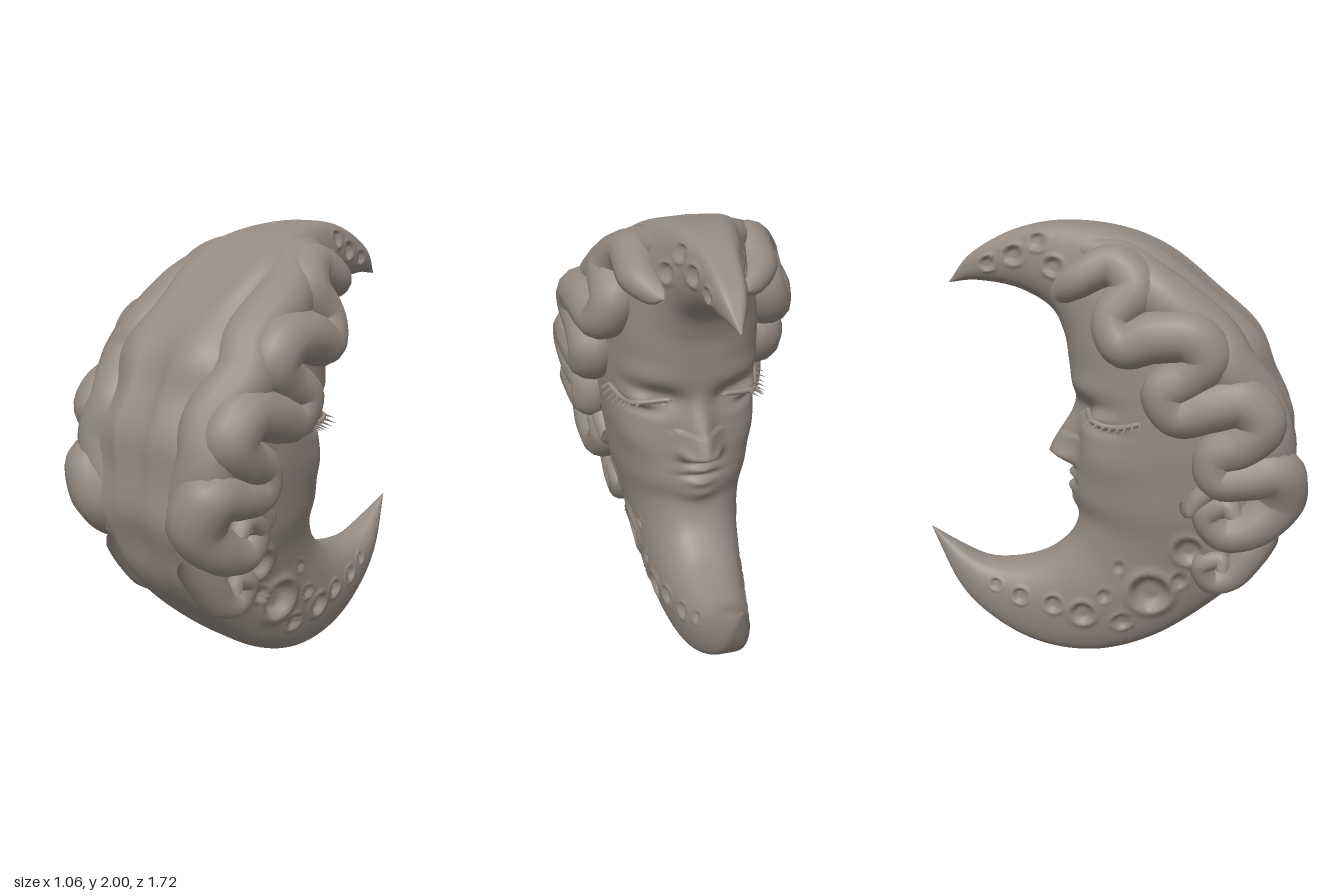
import * as THREE from 'three';

const stone = new THREE.MeshStandardMaterial({ color: 0x948a82 });
stone.name = 'warm grey stone';

// crescent stations: outer z, y, inner z, y, half width
const stations = [
  [-0.73, 1.73, -0.725, 1.728, 0.004], [-0.62, 1.86, -0.60, 1.74, 0.06],
  [-0.42, 1.965, -0.42, 1.71, 0.10], [-0.18, 2.0, -0.27, 1.63, 0.17],
  [0.11, 1.95, -0.21, 1.52, 0.26], [0.38, 1.78, -0.19, 1.40, 0.32],
  [0.61, 1.57, -0.17, 1.26, 0.345], [0.74, 1.34, -0.15, 1.14, 0.355],
  [0.81, 1.10, -0.15, 1.02, 0.355], [0.82, 0.90, -0.16, 0.92, 0.34],
  [0.78, 0.69, -0.17, 0.80, 0.32], [0.67, 0.485, -0.15, 0.69, 0.28],
  [0.47, 0.285, -0.19, 0.57, 0.245], [0.22, 0.105, -0.28, 0.48, 0.22],
  [-0.04, 0.01, -0.38, 0.435, 0.19], [-0.30, 0.015, -0.50, 0.415, 0.155],
  [-0.53, 0.11, -0.61, 0.425, 0.115], [-0.72, 0.28, -0.73, 0.485, 0.07],
  [-0.865, 0.57, -0.86, 0.567, 0.003],
];
// craters on both sides: z, y, radius
const craters = [
  [0.19, 0.37, 0.10], [-0.12, 0.24, 0.06], [0.36, 0.60, 0.07], [-0.26, 0.27, 0.045],
  [-0.42, 0.29, 0.04], [0.32, 0.44, 0.04], [0.06, 0.21, 0.045], [0.05, 0.49, 0.03],
  [-0.02, 0.34, 0.035], [-0.54, 0.33, 0.03], [-0.31, 1.92, 0.04], [-0.42, 1.86, 0.045],
  [-0.54, 1.82, 0.035], [-0.24, 1.82, 0.045],
];
// hair strands: x, y, z, radius
const mainCurl = [
  [0.17, 1.70, -0.22, 0.045], [0.25, 1.77, -0.13, 0.075], [0.25, 1.84, 0.02, 0.09],
  [0.30, 1.75, 0.12, 0.11], [0.33, 1.63, 0.03, 0.09], [0.37, 1.53, 0.08, 0.095],
  [0.39, 1.57, 0.21, 0.11], [0.40, 1.57, 0.35, 0.11], [0.40, 1.49, 0.42, 0.105],
  [0.39, 1.41, 0.35, 0.10], [0.39, 1.34, 0.25, 0.10], [0.39, 1.25, 0.31, 0.10],
  [0.40, 1.29, 0.45, 0.11], [0.40, 1.31, 0.57, 0.11], [0.40, 1.22, 0.65, 0.105],
  [0.39, 1.13, 0.58, 0.10], [0.37, 1.07, 0.47, 0.095], [0.37, 0.97, 0.48, 0.09],
  [0.37, 0.98, 0.60, 0.10], [0.36, 1.00, 0.72, 0.115], [0.31, 0.87, 0.74, 0.115],
  [0.32, 0.75, 0.64, 0.10], [0.32, 0.71, 0.51, 0.085], [0.32, 0.79, 0.44, 0.07],
  [0.34, 0.84, 0.52, 0.05], [0.36, 0.78, 0.56, 0.035],
];
const lowerCurl = [
  [0.22, 0.72, 0.72, 0.07], [0.23, 0.60, 0.64, 0.08], [0.23, 0.48, 0.55, 0.075],
  [0.24, 0.45, 0.46, 0.06], [0.26, 0.53, 0.42, 0.05], [0.27, 0.56, 0.50, 0.04], [0.29, 0.50, 0.51, 0.03],
];
const backLock = [
  [0.10, 1.90, -0.15, 0.05], [0.19, 1.84, 0.05, 0.10], [0.28, 1.71, 0.23, 0.12],
  [0.30, 1.56, 0.43, 0.115], [0.33, 1.43, 0.51, 0.125], [0.29, 1.27, 0.64, 0.11],
  [0.31, 1.12, 0.68, 0.12], [0.26, 0.95, 0.69, 0.12], [0.21, 0.76, 0.68, 0.09], [0.16, 0.62, 0.61, 0.05],
];
const templeLock = [
  [0.33, 1.00, 0.38, 0.03], [0.33, 0.93, 0.45, 0.05], [0.33, 0.86, 0.40, 0.045],
  [0.32, 0.80, 0.36, 0.035], [0.33, 0.85, 0.33, 0.02],
];

const bell = d => Math.exp(-d * d);
const smooth = THREE.MathUtils.smoothstep;
const curve = pts => new THREE.CatmullRomCurve3(pts.map(p => new THREE.Vector3(...p)), false, 'catmullrom', 0.5);

// facial relief, hair waves and craters pushed into a body point
function sculpt(p, s, a) {
  const x = Math.abs(p.x), side = Math.sign(p.x);
  const { y, z } = p;
  const near = (cx, cy, cz, rx, ry, rz) =>
    Math.exp(-(((x - cx) / rx) ** 2) - ((y - cy) / ry) ** 2 - ((z - cz) / rz) ** 2);
  if (s < 0.5 && y > 0.55 && y < 1.6) {
    const nose = y > 0.965 ? 1 - smooth(y, 0.94, 1.26) : smooth(y, 0.89, 0.97);
    let dz = -0.14 * nose * bell(x / (y < 1.05 ? 0.07 : 0.055));
    dz -= 0.04 * near(0.065, 0.95, -0.13, 0.03, 0.03, 0.10);
    // lips, mouth line and chin
    dz -= 0.035 * near(0, 0.868, -0.16, 0.07, 0.025, 0.10);
    dz -= 0.03 * near(0, 0.805, -0.16, 0.06, 0.025, 0.10);
    dz += 0.015 * near(0, 0.836, -0.16, 0.09, 0.012, 0.10);
    dz -= 0.03 * near(0, 0.74, -0.16, 0.08, 0.045, 0.12);
    // brow, eye socket, closed lid and cheek
    let out = 0.015 * near(0.2, 1.31, -0.06, 0.14, 0.06, 0.15);
    out -= 0.055 * near(0.17, 1.20, -0.10, 0.10, 0.06, 0.16);
    out += 0.05 * near(0.23, 1.185, -0.02, 0.07, 0.035, 0.10);
    out -= 0.02 * near(0.24, 1.13, -0.02, 0.09, 0.02, 0.12);
    out += 0.02 * near(0.25, 0.98, 0.0, 0.12, 0.10, 0.18);
    p.x += side * out * 0.6;
    p.z += dz - out * 0.8;
  }
  // stepped, wavy hair mass over the back of the head
  if (s > 0.5 && y > 0.5) {
    const k = smooth(s, 0.5, 0.8) * smooth(y, 0.5, 0.8) * smooth(z, -0.2, 0.15);
    const tier = Math.sin((y + 0.5 * x * x - 0.78) * Math.PI * 2 / 0.34);
    p.z += k * (0.009 * tier + 0.01 * Math.sin(24 * x - 5 * y) - 0.03 * bell(x / 0.05) * smooth(z, 0.5, 0.7));
    p.x *= 1 + k * (0.08 * smooth(y, 0.75, 1.05) + 0.05 * tier);
  }
  for (const [cz, cy, r] of craters) {
    const d = Math.hypot(z - cz, y - cy) / r;
    if (d < 2) p.x += side * Math.sin(a) * r * (0.16 * bell((d - 1) / 0.25) - 0.42 * (1 - smooth(d, 0.45, 1)));
  }
}

// crescent body lofted through the stations
function crescentGeometry() {
  const outer = curve(stations.map(q => [0, q[1], q[0]]));
  const inner = curve(stations.map(q => [0, q[3], q[2]]));
  const width = curve(stations.map(q => [q[4], 0, 0]));
  const rows = 216, cols = 200, pos = [], idx = [];
  for (let i = 0; i <= rows; i++) {
    const t = i / rows, o = outer.getPoint(t), n = inner.getPoint(t), w = width.getPoint(t).x;
    for (let j = 0; j < cols; j++) {
      const a = j / cols * Math.PI * 2, s = (1 - Math.cos(a)) / 2, sn = Math.sin(a);
      const p = n.clone().lerp(o, s);
      p.x = Math.sign(sn) * w * Math.abs(sn) ** (s < 0.5 ? 0.8 : 0.42);
      if (j % (cols / 2) === 0) p.x = 0;
      sculpt(p, s, Math.abs(sn) * Math.PI / 2);
      pos.push(p.x, p.y, p.z);
      if (i < rows) {
        const A = i * cols + j, B = i * cols + (j + 1) % cols;
        idx.push(A, B, A + cols, B, B + cols, A + cols);
      }
    }
  }
  const g = new THREE.BufferGeometry();
  g.setAttribute('position', new THREE.Float32BufferAttribute(pos, 3));
  g.setIndex(idx);
  g.computeVertexNormals();
  return g;
}

// tube whose radius follows the fourth number of each point, deeper in x, with rounded ends
function strand(points, side, segs, depth) {
  const c = curve(points.map(p => [p[0] * side, p[1], p[2]]));
  const g = new THREE.TubeGeometry(c, segs, 1, 14, false);
  const at = g.attributes.position, v = new THREE.Vector3(), len = c.getLength();
  for (let i = 0; i <= segs; i++) {
    const u = i / segs, f = c.getUtoTmapping(u) * (points.length - 1);
    const k = Math.min(Math.floor(f), points.length - 2);
    let r = THREE.MathUtils.lerp(points[k][3], points[k + 1][3], f - k);
    const e = Math.min(1, Math.min(u, 1 - u) * len / r);
    r *= Math.sqrt(1 - (1 - e) ** 2);
    const centre = c.getPointAt(u);
    for (let j = 0; j <= 14; j++) {
      const n = i * 15 + j;
      v.fromBufferAttribute(at, n).sub(centre).multiplyScalar(r);
      v.x *= depth;
      v.add(centre);
      at.setXYZ(n, v.x, v.y, v.z);
    }
  }
  return g;
}

export function createModel() {
  const model = new THREE.Group();
  model.name = 'crescentMoon';
  const add = (name, geo, parent = model) => {
    const m = new THREE.Mesh(geo, stone);
    m.name = name;
    parent.add(m);
    return m;
  };
  const body = crescentGeometry();
  add('crescentBody', body);

  // x of the body surface nearest to a given z, y
  const at = body.attributes.position;
  const skin = (z, y) => {
    let best = 9, x = 0;
    for (let i = 0; i < at.count; i++) {
      const d = Math.hypot(at.getZ(i) - z, at.getY(i) - y);
      if (at.getX(i) > 0.05 && d < best) { best = d; x = at.getX(i); }
    }
    return x;
  };
  const lid = [];
  for (let i = 0; i <= 8; i++) {
    const z = -0.10 + i * 0.031, y = 1.19 - 0.03 * Math.sin(i / 8 * Math.PI);
    lid.push([skin(z, y) + 0.004, y, z, 0.012]);
  }

  for (const side of [1, -1]) {
    const label = side > 0 ? 'left' : 'right';
    add(label + 'MainCurl', strand(mainCurl, side, 220, 1.2));
    add(label + 'LowerCurl', strand(lowerCurl, side, 60, 1.2));
    add(label + 'BackLock', strand(backLock, side, 90, 1.2));
    add(label + 'TempleLock', strand(templeLock, side, 40, 1.2));
    add(label + 'Eyelid', strand(lid, side, 30, 1));
    // lashes fan out along the lid
    const lashes = new THREE.Group();
    lashes.name = label + 'Eyelashes';
    model.add(lashes);
    lid.forEach(([x, y, z], i) => {
      const lash = add('lash', new THREE.ConeGeometry(0.008, 0.06, 5).translate(0, 0.03, 0), lashes);
      lash.position.set(x * side, y, z);
      const dir = new THREE.Vector3(0.7 * side, -0.35, -0.8 + i * 0.09).normalize();
      lash.quaternion.setFromUnitVectors(new THREE.Vector3(0, 1, 0), dir);
    });
  }
  return model;
}
